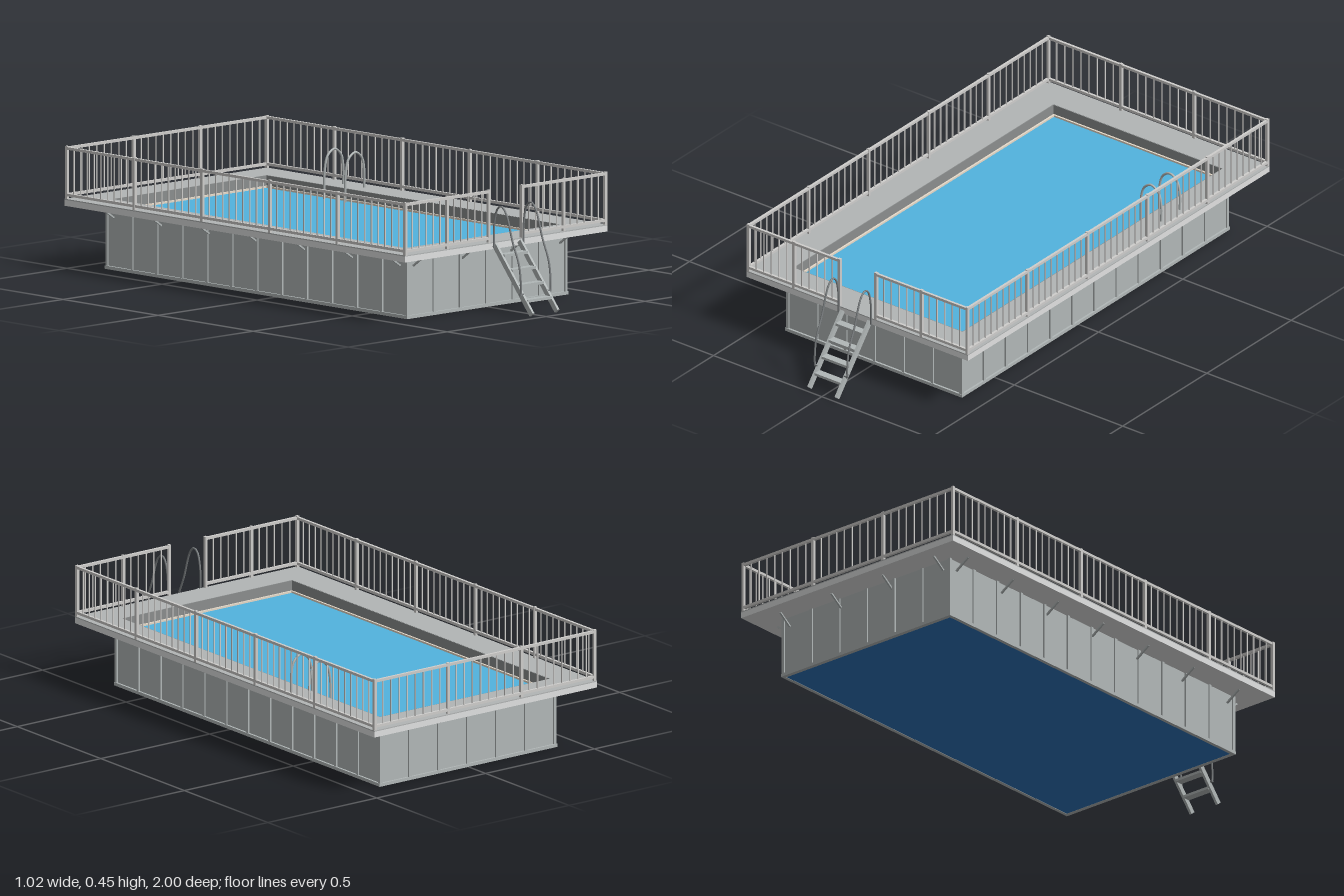
import * as THREE from 'three';

const mat = (name, color) => {
  const m = new THREE.MeshStandardMaterial({ color });
  m.name = name;
  return m;
};

export function createModel() {
  const M = {
    wall: mat('wall grey', 0xb1b7b7),
    frame: mat('frame light grey', 0xe0e1e1),
    deck: mat('deck grey', 0xb2b5b5),
    lining: mat('lining dark grey', 0x8b8e8e),
    rail: mat('rail grey', 0xcfcecc),
    metal: mat('handrail grey', 0x7c8082),
    water: mat('water blue', 0x52b3de),
    floor: mat('floor blue', 0x2c73b9),
    coping: mat('coping beige', 0xe8dccb),
  };
  const root = new THREE.Group();
  root.name = 'raisedPool';
  const group = (name) => {
    const g = new THREE.Group();
    g.name = name;
    root.add(g);
    return g;
  };
  // Box given by its minimum and maximum corners
  const box = (name, m, [x0, y0, z0], [x1, y1, z1], parent = root) => {
    const b = new THREE.Mesh(new THREE.BoxGeometry(x1 - x0, y1 - y0, z1 - z0), m);
    b.position.set((x0 + x1) / 2, (y0 + y1) / 2, (z0 + z1) / 2);
    b.name = name;
    parent.add(b);
  };
  // Straight bar between two points
  const bar = (name, m, a, b, w, h, parent) => {
    const p = new THREE.Vector3(...a), q = new THREE.Vector3(...b);
    const o = new THREE.Mesh(new THREE.BoxGeometry(w, h, p.distanceTo(q)), m);
    o.position.copy(p).lerp(q, 0.5);
    o.lookAt(q);
    o.name = name;
    parent.add(o);
  };
  const tube = (name, m, pts, r, parent) => {
    const curve = new THREE.CatmullRomCurve3(pts.map(p => new THREE.Vector3(...p)));
    const t = new THREE.Mesh(new THREE.TubeGeometry(curve, 32, r, 8), m);
    t.name = name;
    parent.add(t);
  };
  // Rectangular ring lying flat; outer and inner are [x0, z0, x1, z1]
  const ring = (name, m, o, i, y0, y1) => {
    const rect = (P, [x0, z0, x1, z1]) => {
      const p = new P();
      p.moveTo(x0, -z1); p.lineTo(x1, -z1); p.lineTo(x1, -z0); p.lineTo(x0, -z0); p.closePath();
      return p;
    };
    const s = rect(THREE.Shape, o);
    s.holes.push(rect(THREE.Path, i));
    const g = new THREE.ExtrudeGeometry(s, { depth: y1 - y0, bevelEnabled: false });
    g.rotateX(-Math.PI / 2).translate(0, y0, 0);
    const mesh = new THREE.Mesh(g, m);
    mesh.name = name;
    root.add(mesh);
  };

  // Basin, water and deck
  const outer = [-0.511, -1, 0.511, 0.79], wall = [-0.4, -0.89, 0.4, 0.685];
  const opening = [-0.388, -0.874, 0.388, 0.664], inner = [-0.381, -0.867, 0.381, 0.657];
  const lined = [-0.391, -0.877, 0.391, 0.667];
  ring('basinWall', M.wall, wall, lined, 0.002, 0.233);
  box('basinFloor', M.floor, [-0.395, 0.001, -0.884], [0.395, 0.008, 0.679]);
  box('water', M.water, [-0.3885, 0.008, -0.8745], [0.3885, 0.213, 0.6645]);
  ring('coping', M.coping, opening, inner, 0.212, 0.22);
  ring('poolLining', M.lining, lined, opening, 0.205, 0.2575);
  ring('deckFrame', M.frame, outer, lined, 0.232, 0.254);
  ring('deckBoards', M.deck, outer, lined, 0.254, 0.258);
  ring('baseRail', M.wall, [-0.408, -0.898, 0.408, 0.693], [-0.394, -0.882, 0.394, 0.677], 0, 0.012);

  // Upright ribs on the walls
  const ribs = group('wallRibs');
  for (let i = 0; i <= 6; i++) {
    const x = -0.4 + i * 0.8 / 6;
    box('rib', M.wall, [x - 0.006, 0.01, 0.684], [x + 0.006, 0.232, 0.691], ribs);
    box('rib', M.wall, [x - 0.006, 0.01, -0.896], [x + 0.006, 0.232, -0.889], ribs);
  }
  for (let i = 0; i <= 12; i++) {
    const z = -0.89 + i * 1.575 / 12;
    for (const s of [-1, 1]) {
      box('rib', M.wall, [s * 0.4025 - 0.0035, 0.01, z - 0.006], [s * 0.4025 + 0.0035, 0.232, z + 0.006], ribs);
    }
  }

  // Diagonal brackets under the deck
  const brackets = group('deckBrackets');
  for (const x of [-0.37, -0.123, 0.123, 0.37]) {
    bar('bracket', M.wall, [x, 0.193, 0.687], [x, 0.232, 0.741], 0.007, 0.006, brackets);
    bar('bracket', M.wall, [x, 0.193, -0.892], [x, 0.232, -0.946], 0.007, 0.006, brackets);
  }
  for (let i = 0; i < 7; i++) {
    const z = 0.65 - i * 0.251;
    for (const s of [-1, 1]) {
      bar('bracket', M.wall, [s * 0.402, 0.193, z], [s * 0.46, 0.232, z], 0.007, 0.006, brackets);
    }
  }

  // Railing: spans between posts, each with balusters
  const railing = group('railing');
  const run = (x0, z0, x1, z1, spans, gaps) => {
    for (const y of [0.445, 0.273]) {
      bar('rail', M.rail, [x0, y, z0], [x1, y, z1], 0.01, 0.01, railing);
    }
    const n = spans * gaps;
    for (let i = 0; i <= n; i++) {
      const x = x0 + (x1 - x0) * i / n, z = z0 + (z1 - z0) * i / n;
      const post = i % gaps === 0, h = post ? 0.0055 : 0.002;
      box(post ? 'post' : 'baluster', M.rail,
        [x - h, post ? 0.256 : 0.275, z - h], [x + h, post ? 0.453 : 0.443, z + h], railing);
    }
  };
  for (const s of [-1, 1]) {
    run(s * 0.505, 0.785, s * 0.505, -0.994, 5, 10);
    run(s * 0.505, 0.785, s * 0.084, 0.785, 2, 6);
  }
  run(-0.505, -0.994, 0.505, -0.994, 3, 9);

  // Entry ladder with curved handrails
  const ladder = group('entryLadder');
  for (const s of [-1, 1]) {
    bar('ladderSide', M.wall, [s * 0.063, 0.248, 0.796], [s * 0.063, 0.012, 0.992], 0.01, 0.02, ladder);
    const x = s * 0.075;
    tube('handrail', M.metal, [
      [x, 0.24, 0.803], [x, 0.33, 0.806], [x, 0.385, 0.822], [x, 0.397, 0.842], [x, 0.375, 0.866],
      [x, 0.27, 0.903], [x, 0.19, 0.936], [x, 0.11, 0.946], [x, 0.08, 0.944],
    ], 0.0037, ladder);
    bar('handrailFoot', M.metal, [s * 0.062, 0.082, 0.944], [s * 0.078, 0.082, 0.944], 0.007, 0.007, ladder);
  }
  for (let i = 0; i < 4; i++) {
    const y = 0.212 - i * 0.051, z = 0.828 + i * 0.0415;
    box('tread', M.wall, [-0.06, y - 0.005, z - 0.015], [0.06, y + 0.005, z + 0.015], ladder);
  }

  // Grab handles at the pool edge
  const handles = group('poolHandles');
  for (const z of [-0.54, -0.43]) {
    tube('handle', M.wall, [
      [0.455, 0.256, z], [0.455, 0.32, z], [0.443, 0.37, z], [0.41, 0.393, z],
      [0.376, 0.372, z], [0.361, 0.32, z], [0.359, 0.26, z], [0.359, 0.205, z],
    ], 0.0045, handles);
  }
  return root;
}
